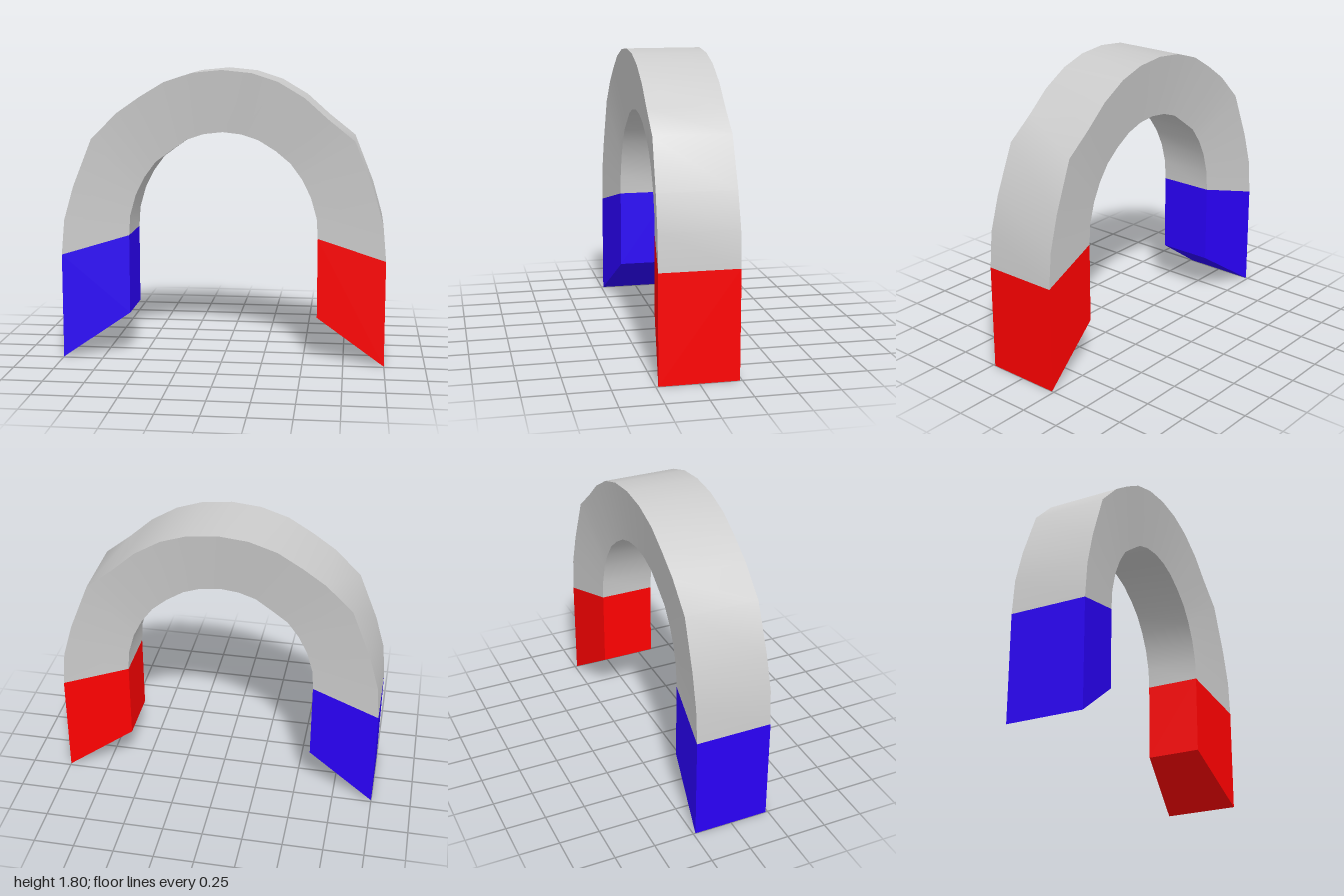
import * as THREE from 'three';
import { toCreasedNormals } from 'three/addons/utils/BufferGeometryUtils.js';

// Paired outer / inner outline points, running from the +x foot over the top to the -x foot
const OUTER = [[1, 0.655], [0.98, 0.875], [0.92, 1.085], [0.803, 1.38], [0.64, 1.51], [0.5, 1.635],
  [0.34, 1.73], [0.18, 1.782], [0, 1.8], [-0.18, 1.782], [-0.35, 1.727], [-0.5, 1.637],
  [-0.64, 1.54], [-0.803, 1.38], [-0.92, 1.085], [-0.98, 0.875], [-1, 0.655]];
const INNER = [[0.585, 0.775], [0.577, 0.9], [0.54, 1.03], [0.485, 1.14], [0.415, 1.235], [0.325, 1.31],
  [0.22, 1.375], [0.115, 1.41], [0, 1.423], [-0.115, 1.41], [-0.22, 1.375], [-0.32, 1.305],
  [-0.415, 1.235], [-0.485, 1.14], [-0.54, 1.03], [-0.577, 0.9], [-0.585, 0.775]];
// The bar is deeper on its outer side than on its inner side
const OUTER_HALF = 0.236;
const INNER_HALF = 0.173;

// Curved bar: trapezoid sections, slightly thinner towards the crown
function archGeometry() {
  const sections = OUTER.map(([ox, oy], i) => {
    const [ix, iy] = INNER[i];
    const d = OUTER_HALF - 0.008 * THREE.MathUtils.smoothstep(oy, 0.85, 1.4);
    return [[ox, oy, d], [ix, iy, INNER_HALF], [ix, iy, -INNER_HALF], [ox, oy, -d]];
  });
  const positions = [];
  for (let i = 0; i < sections.length - 1; i++) {
    for (let k = 0; k < 4; k++) {
      const a = sections[i][k], b = sections[i + 1][k];
      const c = sections[i + 1][(k + 1) % 4], d = sections[i][(k + 1) % 4];
      positions.push(...a, ...b, ...c, ...a, ...c, ...d);
    }
  }
  const geometry = new THREE.BufferGeometry();
  geometry.setAttribute('position', new THREE.Float32BufferAttribute(positions, 3));
  return toCreasedNormals(geometry, 0.8);
}

// Coloured foot with slanted top and bottom, narrowing to the inner side
function poleTip(side, color, name) {
  const shape = new THREE.Shape(
    [[1, 0], [1, 0.655], [0.585, 0.775], [0.585, 0.28]].map(([x, y]) => new THREE.Vector2(side * x, y)));
  const geometry = new THREE.ExtrudeGeometry(shape, { depth: 1, bevelEnabled: false });
  const position = geometry.attributes.position;
  for (let i = 0; i < position.count; i++) {
    const half = Math.abs(position.getX(i)) > 0.8 ? OUTER_HALF : INNER_HALF;
    position.setZ(i, position.getZ(i) > 0.5 ? half : -half);
  }
  geometry.computeVertexNormals();
  const mesh = new THREE.Mesh(geometry, new THREE.MeshStandardMaterial({ color }));
  mesh.name = name;
  return mesh;
}

export function createModel() {
  const group = new THREE.Group();
  group.name = 'horseshoeMagnet';
  const arch = new THREE.Mesh(archGeometry(), new THREE.MeshStandardMaterial({ color: 0xcccccc }));
  arch.name = 'arch';
  group.add(arch, poleTip(1, 0xff0000, 'leftPoleTip'), poleTip(-1, 0x2a00f8, 'rightPoleTip'));
  return group;
}
